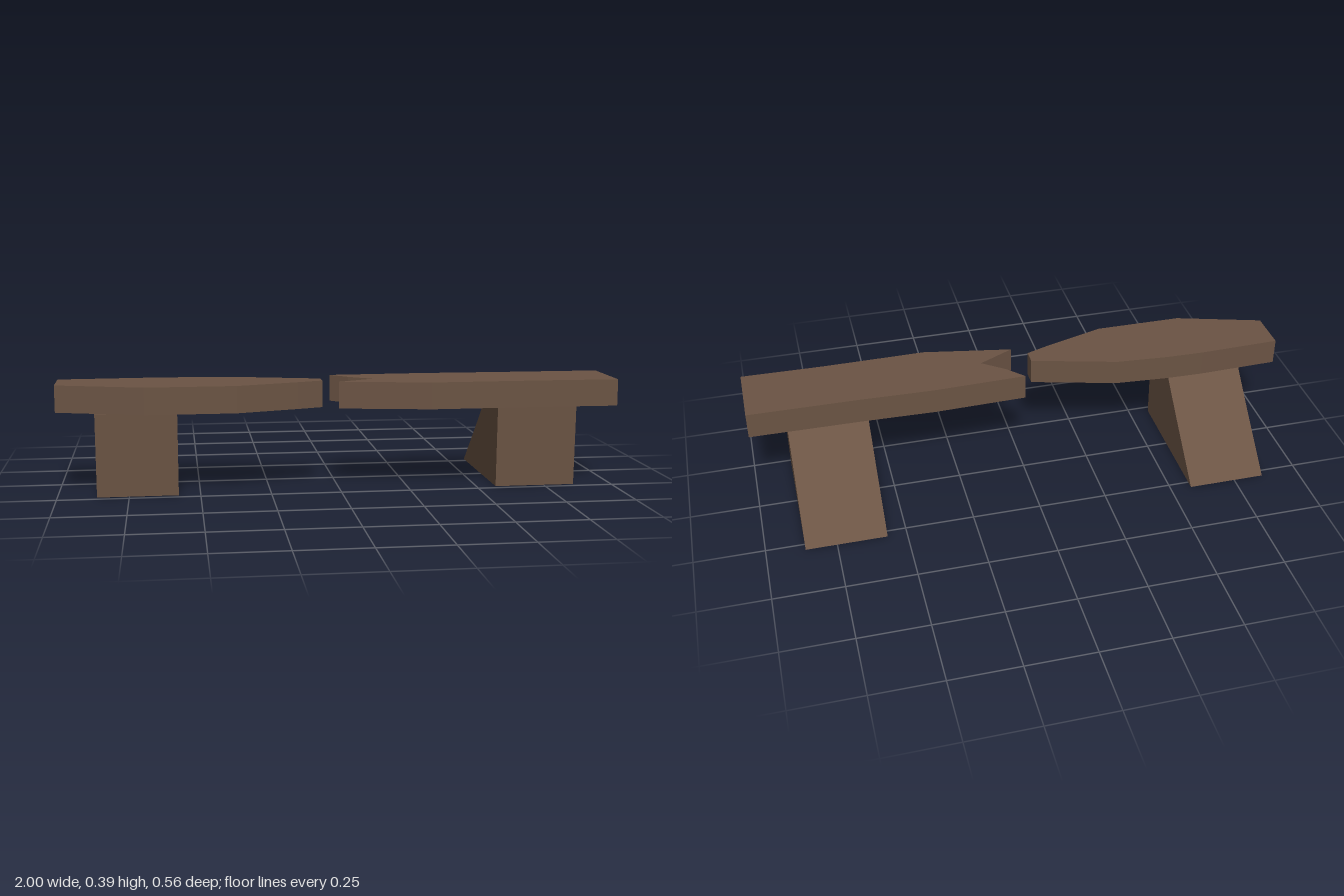
import * as THREE from 'three';

const TOP = 0.393, UNDER = 0.297;

const shapeOf = (points) => new THREE.Shape(points.map(([a, b]) => new THREE.Vector2(a, b)));

// Flat plank from an outline of (x, z) points
function makePlank(name, outline, material) {
  const geometry = new THREE.ExtrudeGeometry(shapeOf(outline), { depth: TOP - UNDER, bevelEnabled: false });
  geometry.rotateX(Math.PI / 2).translate(0, TOP, 0);
  const mesh = new THREE.Mesh(geometry, material);
  mesh.name = name;
  return mesh;
}

// Wedge support from a (z, y) side profile, spanning x0 to x1
function makeSupport(name, x0, x1, material) {
  const profile = [[-0.28, 0], [0.225, 0], [0.235, UNDER], [0.045, UNDER], [-0.083, 0.177]];
  const geometry = new THREE.ExtrudeGeometry(shapeOf(profile), { depth: x1 - x0, bevelEnabled: false });
  geometry.rotateY(-Math.PI / 2).translate(x1, 0, 0);
  const mesh = new THREE.Mesh(geometry, material);
  mesh.name = name;
  return mesh;
}

export function createModel() {
  const wood = new THREE.MeshStandardMaterial({ color: 0x6b5444, flatShading: true });
  wood.name = 'brown wood';

  const model = new THREE.Group();
  model.name = 'brokenShelf';

  // Plank with a tapered, blunt broken end
  model.add(makePlank('rightPlank', [
    [-1, 0.027], [-0.7, 0.018], [-0.56, 0.021], [-0.37, 0.035], [-0.06, 0.12],
    [-0.06, 0.175], [-0.15, 0.207], [-0.37, 0.275], [-0.69, 0.275], [-1, 0.18],
  ], wood));

  // Plank with a notched broken end
  model.add(makePlank('leftPlank', [
    [-0.015, 0.027], [0.33, 0.018], [0.6, 0.025], [1, 0.028], [1, 0.277],
    [0.7, 0.272], [0.32, 0.276], [-0.005, 0.215], [0.125, 0.15], [0.045, 0.09],
  ], wood));

  // Supports under each plank
  model.add(makeSupport('rightSupport', -0.862, -0.577, wood));
  model.add(makeSupport('leftSupport', 0.57, 0.862, wood));
  return model;
}
